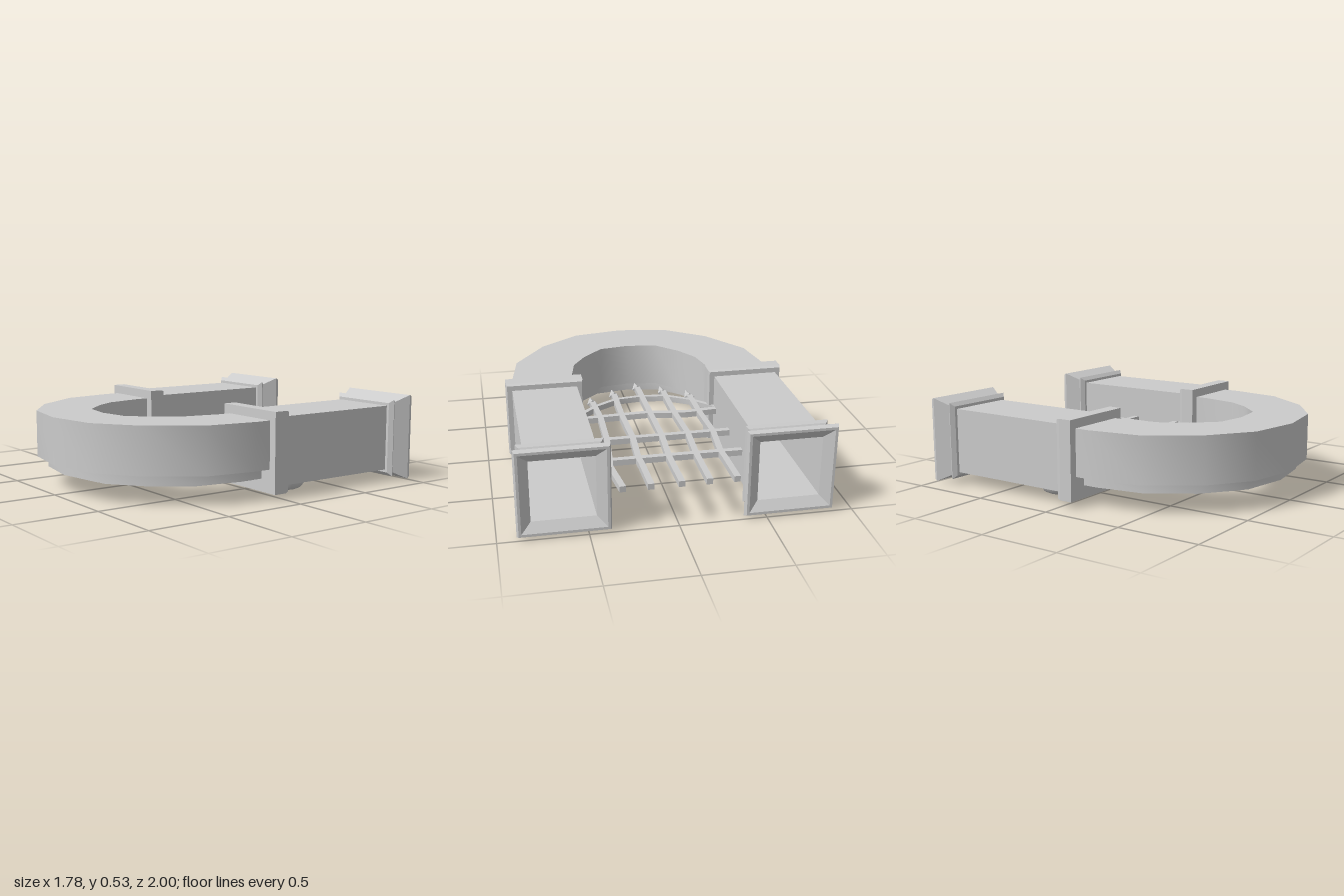
import * as THREE from 'three';
import { toCreasedNormals } from 'three/addons/utils/BufferGeometryUtils.js';

const V = (x, y) => new THREE.Vector2(x, y);
const MID = 0.275; // height of the column and gate centre
const LEG = 0.632; // x of each column

export function createModel() {
  const group = new THREE.Group();
  const mat = new THREE.MeshStandardMaterial({ color: 0xcccccc, side: THREE.DoubleSide });

  const add = (name, geo, x = 0, y = 0, z = 0) => {
    const mesh = new THREE.Mesh(geo, mat);
    mesh.name = name;
    mesh.position.set(x, y, z);
    group.add(mesh);
    return mesh;
  };

  // Outline in x/z, extruded vertically from y0 to y1
  const slab = (outline, y0, y1) => {
    const geo = new THREE.ExtrudeGeometry(new THREE.Shape(outline), { depth: y1 - y0, bevelEnabled: false });
    geo.rotateX(Math.PI / 2).translate(0, y1, 0);
    return toCreasedNormals(geo, 0.7);
  };

  // Square-section turned shape along z; profile pairs are [half width, z]
  const squareLoft = (profile) => {
    const pts = profile.map(([r, z]) => V(r * Math.SQRT2, z));
    const geo = new THREE.LatheGeometry(pts, 4, Math.PI / 4);
    geo.rotateX(Math.PI / 2);
    return toCreasedNormals(geo, 0.3);
  };

  // Arch: stepped layers between the outer and inner curve
  const outer = [[0.82, 0.02], [0.82, 0.17], [0.77, 0.48], [0.57, 0.765], [0.32, 0.945], [0, 1]];
  const inner = [[0.45, 0.02], [0.45, 0.15], [0.405, 0.375], [0.32, 0.51], [0.19, 0.64], [0, 0.67]];
  const curveAt = (t) => {
    const half = outer.map(([x, z], i) => V(x + (inner[i][0] - x) * t, z + (inner[i][1] - z) * t));
    return [...half, ...half.slice(0, -1).reverse().map((p) => V(-p.x, p.y))];
  };
  const archLayer = (name, t0, t1, y0, y1) =>
    add(name, slab([...curveAt(t0), ...curveAt(t1).reverse()], y0, y1));
  archLayer('archBody', 0, 1, 0.178, 0.457);
  archLayer('archMiddleStep', 0.19, 0.86, 0.115, 0.178);
  archLayer('archFrontStep', 0.41, 0.72, 0.093, 0.115);

  // Columns with flared hollow base, collar and round boss
  const column = squareLoft([
    [0, -0.03], [0.18, -0.03], [0.18, -0.96], [0.235, -1], [0.25, -1], [0.26, -0.975],
    [0.218, -0.885], [0.225, -0.88], [0.237, -0.863], [0.215, -0.84], [0.198, -0.84], [0.198, -0.02],
  ]);
  const collar = squareLoft([[0, -0.027], [0.228, -0.027], [0.235, -0.005], [0.235, 0.075], [0, 0.075]]);
  const boss = new THREE.LatheGeometry(
    [V(0, 0.022), V(0.03, 0.004), V(0.06, 0.006), V(0.09, 0.02), V(0.11, 0.05), V(0.108, 0.065), V(0.095, 0.08), V(0, 0.1)],
    16
  );
  for (const side of [1, -1]) {
    const tag = side > 0 ? 'left' : 'right';
    add(tag + 'Column', column, side * LEG, MID);
    add(tag + 'Collar', collar, side * LEG, MID);
    add(tag + 'Boss', boss, side * LEG, 0, -0.21);
  }

  // Bent iron bar through x/z points
  const bar = (name, points, w = 0.018) => {
    const offset = (s) => points.map(([x, z], i) => {
      const a = points[Math.max(i - 1, 0)];
      const b = points[Math.min(i + 1, points.length - 1)];
      const n = V(a[1] - b[1], b[0] - a[0]).normalize();
      return V(x + n.x * w * s, z + n.y * w * s);
    });
    add(name, slab([...offset(-1), ...offset(1).reverse()], MID - 0.03, MID + 0.005));
  };

  // Gate cross bars
  bar('crossBar', [[-0.44, -0.675], [0, -0.67], [0.44, -0.67]]);
  bar('crossBar', [[-0.44, -0.4], [0, -0.4], [0.44, -0.4]]);
  bar('crossBar', [[-0.44, -0.075], [-0.25, -0.095], [-0.1, -0.08], [0, -0.06], [0.25, -0.07], [0.44, -0.08]]);
  bar('curvedBar', [[-0.44, -0.04], [-0.3, 0.095], [-0.16, 0.18], [0, 0.2], [0.16, 0.18], [0.3, 0.095], [0.44, -0.04]], 0.014);

  // Gate uprights, each bent slightly and ending in a spearhead
  const stations = [-1, -0.75, -0.67, -0.4, -0.08];
  const uprights = [
    { xs: [-0.32, -0.315, -0.31, -0.335, -0.32], x: -0.32, tip: 0.28 },
    { xs: [-0.165, -0.165, -0.165, -0.18, -0.165], x: -0.165, tip: 0.38 },
    { xs: [-0.01, -0.005, -0.005, -0.02, -0.015], x: -0.01, tip: 0.47 },
    { xs: [0.16, 0.165, 0.17, 0.155, 0.165], x: 0.16, tip: 0.38 },
    { xs: [0.315, 0.345, 0.335, 0.31, 0.3], x: 0.318, tip: 0.28 },
  ];
  const spear = new THREE.ConeGeometry(0.035, 0.12, 4);
  spear.rotateX(Math.PI / 2).scale(1, 0.7, 1);
  const spearGeo = toCreasedNormals(spear, 0.3);
  for (const { xs, x, tip } of uprights) {
    bar('upright', [...xs.map((px, i) => [px, stations[i]]), [x, tip - 0.11]]);
    add('spearhead', spearGeo, x, MID - 0.0125, tip - 0.06);
  }
  return group;
}
